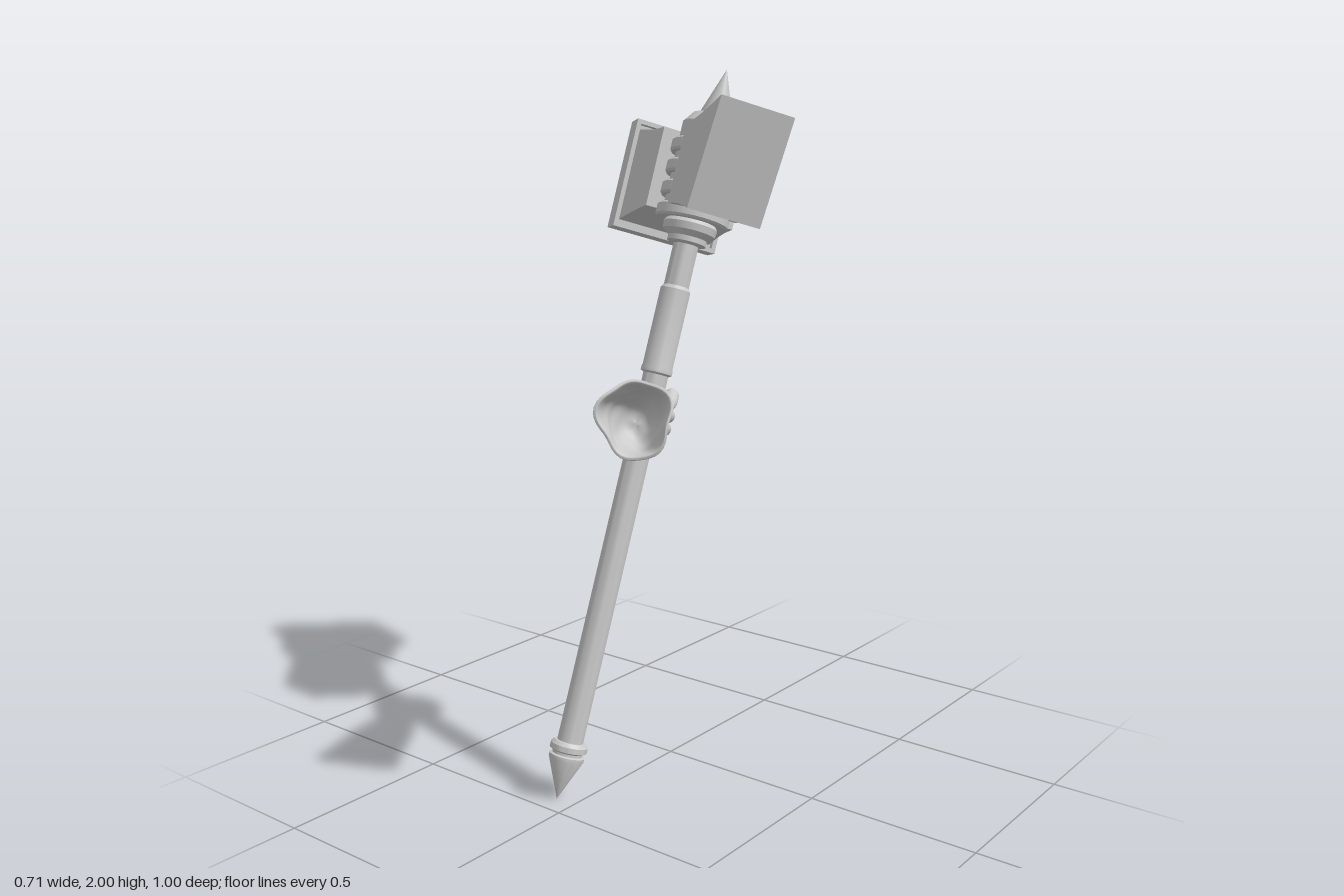
import * as THREE from 'three';
import { mergeVertices, toCreasedNormals } from 'three/addons/utils/BufferGeometryUtils.js';

const V = (x, y, z) => new THREE.Vector3(x, y, z);
const mat = new THREE.MeshStandardMaterial({ color: 0xcccccc });
const matDouble = new THREE.MeshStandardMaterial({ color: 0xcccccc, side: THREE.DoubleSide });

// Shaft axis, from the bottom tip to the top spike
const BASE = V(-0.062, 0, 0.44);
const UP = V(0.03, 2, -0.22).sub(BASE).normalize();
const onShaft = (s) => BASE.clone().addScaledVector(UP, s);

function add(parent, name, geometry, material = mat) {
  const m = new THREE.Mesh(geometry, material);
  m.name = name;
  parent.add(m);
  return m;
}

// Turn an object so its y axis follows yDir and its x axis follows xHint
function orient(obj, pos, yDir, xHint) {
  const y = yDir.clone().normalize();
  const x = xHint.clone().addScaledVector(y, -xHint.dot(y)).normalize();
  const z = x.clone().cross(y);
  obj.quaternion.setFromRotationMatrix(new THREE.Matrix4().makeBasis(x, y, z));
  obj.position.copy(pos);
}

function turned(pairs, crease = 0.5, seg = 32) {
  const pts = pairs.map(([r, y]) => new THREE.Vector2(r, y));
  return toCreasedNormals(new THREE.LatheGeometry(pts, seg), crease);
}

// Smooth turned shape with its vertices moved by a rule
function softTurned(pairs, rule) {
  const curve = new THREE.SplineCurve(pairs.map(([r, y]) => new THREE.Vector2(r, y)));
  const pts = curve.getPoints(pairs.length * 4).map((p) => p.setX(Math.max(p.x, 0)));
  let g = new THREE.LatheGeometry(pts, 48);
  g.deleteAttribute('uv');
  g.deleteAttribute('normal');
  const p = g.attributes.position, v = V(0, 0, 0);
  for (let i = 0; i < p.count; i++) {
    v.fromBufferAttribute(p, i);
    rule(v);
    p.setXYZ(i, v.x, v.y, v.z);
  }
  g = mergeVertices(g, 1e-5);
  g.computeVertexNormals();
  return g;
}

// Half of the hammer head: a box whose section flares from inner to outer
function wing(inner, outer, slant, flare) {
  const g = new THREE.BoxGeometry(1, 1, 1, 4, 1, 1).toNonIndexed();
  const p = g.attributes.position;
  const flip = outer.x < inner.x;
  for (let i = 0; i < p.count; i++) {
    const raw = p.getX(i) + 0.5, t = flip ? 1 - raw : raw;
    const k = Math.pow(t, flare);
    const half = THREE.MathUtils.lerp(inner.hy, outer.hy, k);
    const wide = THREE.MathUtils.lerp(inner.hz, outer.hz, k);
    const y = p.getY(i) * 2 * half;
    p.setXYZ(i, THREE.MathUtils.lerp(inner.x, outer.x, t) + slant * y * t, y, p.getZ(i) * 2 * wide);
  }
  g.computeVertexNormals();
  return toCreasedNormals(g, 0.1);
}

function square(half, Type = THREE.Shape) {
  const s = new Type();
  s.moveTo(-half, -half).lineTo(half, -half).lineTo(half, half).lineTo(-half, half).closePath();
  return s;
}

// Rounded finger following a smooth path
function finger(parent, name, pts, r) {
  const g = new THREE.Group();
  g.name = name;
  add(g, name + 'Body', new THREE.TubeGeometry(new THREE.CatmullRomCurve3(pts), 28, r, 14));
  for (const e of [pts[0], pts[pts.length - 1]]) {
    add(g, name + 'End', new THREE.SphereGeometry(r, 14, 10)).position.copy(e);
  }
  parent.add(g);
}

function buildHammer() {
  const hammer = new THREE.Group();
  hammer.name = 'hammer';
  orient(hammer, BASE, UP, V(0.816, 0.135, 0.563));

  // Shaft with pointed pommel, grip sleeve and collar
  add(hammer, 'pommel', turned([[0, 0], [0.05, 0.115], [0.05, 0.125], [0.043, 0.128], [0.043, 0.135],
    [0.053, 0.14], [0.053, 0.155], [0.045, 0.165], [0.036, 0.165]]));
  add(hammer, 'shaft', turned([[0.037, 0.15], [0.036, 1.22], [0.045, 1.225], [0.045, 1.235], [0.043, 1.245],
    [0.043, 1.465], [0.036, 1.475], [0.036, 1.62]]));
  add(hammer, 'collar', turned([[0.036, 1.595], [0.056, 1.6], [0.056, 1.615], [0.075, 1.63], [0.078, 1.65],
    [0.068, 1.665], [0.09, 1.685]]));

  // Core, binding rings, cap and top spike
  add(hammer, 'core', turned([[0.05, 1.65], [0.088, 1.67], [0.088, 1.91]]));
  for (let i = 0; i < 4; i++) {
    const s = 1.678 + i * 0.062;
    add(hammer, 'bindingRing', turned([[0.08, s - 0.019], [0.1, s - 0.019], [0.105, s - 0.013],
      [0.105, s + 0.013], [0.1, s + 0.019], [0.08, s + 0.019]]));
  }
  add(hammer, 'cap', turned([[0.07, 1.895], [0.088, 1.9], [0.088, 1.935], [0.066, 1.965], [0.052, 1.965], [0.05, 1.955]]));
  add(hammer, 'topSpike', turned([[0.05, 1.95], [0.05, 1.965], [0, 2.108]]));

  // Head: slanted small wing, broad wing, and framed striking plate
  const head = new THREE.Group();
  head.name = 'head';
  head.position.set(0, 1.8, -0.011);
  hammer.add(head);
  add(head, 'smallWing', wing({ x: 0.045, hy: 0.113, hz: 0.104 }, { x: 0.286, hy: 0.148, hz: 0.106 }, 0.25, 1.6));
  add(head, 'broadWing', wing({ x: -0.065, hy: 0.115, hz: 0.134 }, { x: -0.3, hy: 0.14, hz: 0.148 }, 0, 1.6));
  const plate = add(head, 'strikingPlate', toCreasedNormals(new THREE.ExtrudeGeometry(square(0.158), {
    depth: 0.04, bevelThickness: 0.006, bevelSize: 0.006, bevelSegments: 1 }), 0.3));
  plate.rotation.y = Math.PI / 2;
  plate.position.x = -0.337;
  const rim = square(0.164);
  rim.holes.push(square(0.151, THREE.Path));
  const frame = add(head, 'plateRim', new THREE.ExtrudeGeometry(rim, { depth: 0.028, bevelEnabled: false }));
  frame.rotation.y = Math.PI / 2;
  frame.position.x = -0.298;
  return hammer;
}

function buildArm() {
  const arm = new THREE.Group();
  arm.name = 'arm';

  // Hollow forearm sleeve with folds growing towards the opening
  const from = V(0.025, 1.035, 0.185), to = V(0.222, 1.118, 0.432);
  const dir = to.clone().sub(from), L = dir.length();
  const sleeve = add(arm, 'sleeve', softTurned([[0, -0.004], [0.042, 0], [0.052, 0.03], [0.063, 0.08], [0.073, 0.15],
    [0.079, 0.22], [0.085, 0.28], [0.096, L - 0.004], [0.094, L + 0.004], [0.085, L - 0.004], [0.074, 0.25],
    [0.062, 0.17], [0.035, 0.11], [0, 0.1]], (v) => {
    const a = Math.atan2(v.z, v.x), t = THREE.MathUtils.clamp(v.y / L, 0, 1);
    const k = 1 + t * (0.07 * Math.sin(3 * a + 0.6) + 0.05 * Math.sin(5 * a + 2 + 5 * t))
      + 0.02 * Math.sin(4 * a + 24 * t) * Math.sin(Math.PI * t);
    v.x *= k;
    v.z *= k * (1.22 - 0.15 * t);
    v.y += 0.012 * t * t * Math.sin(2 * a + 1);
  }), matDouble);
  orient(sleeve, from, dir, dir.clone().cross(V(0, 1, 0)));

  // Back of the hand, flattened from the wrist to the knuckles
  const wrist = V(0.055, 1.045, 0.225), knuckle = V(-0.083, 1.033, 0.075);
  const hDir = knuckle.clone().sub(wrist);
  const hand = add(arm, 'hand', softTurned([[0, 0], [0.045, 0.008], [0.05, 0.05], [0.058, 0.1], [0.064, 0.15],
    [0.06, 0.185], [0.04, 0.203], [0, 0.207]], (v) => {
    const t = THREE.MathUtils.clamp(v.y / 0.2, 0, 1);
    v.x *= 1 - 0.48 * t;
    v.z *= 1.05 + 0.12 * t;
    v.z += 0.004 * Math.sin(v.z * 150) * t;
  }));
  orient(hand, wrist, hDir, hDir.clone().cross(V(0, 1, 0)));

  // Four fingers wrapped around the shaft
  for (let i = 0; i < 4; i++) {
    const c = onShaft(1.036 + i * 0.038), pts = [];
    const reach = [0.052, 0.057, 0.059, 0.056][i];
    for (let deg = 130; deg <= 390; deg += 26) {
      const a = THREE.MathUtils.degToRad(deg);
      const r = reach + 0.009 * Math.cos(4 * (a - 0.3)) + (deg < 200 ? 0.012 : 0);
      pts.push(V(c.x + r * Math.cos(a), c.y + 0.3 * r * Math.sin(a), c.z + r * Math.sin(a)));
    }
    finger(arm, 'finger', pts, i === 0 ? 0.019 : 0.021);
  }

  // Palm mass behind the shaft and the thumb folded over the fingers
  const palm = add(arm, 'palm', new THREE.SphereGeometry(1, 24, 16));
  palm.scale.set(0.05, 0.06, 0.05);
  palm.position.set(0.012, 1.035, 0.155);
  finger(arm, 'thumb', [V(0.035, 1.055, 0.18), V(0.058, 1.068, 0.135), V(0.058, 1.085, 0.085),
    V(0.03, 1.098, 0.035)], 0.021);
  return arm;
}

export function createModel() {
  const model = new THREE.Group();
  model.name = 'hammerInHand';
  model.add(buildHammer(), buildArm());
  return model;
}
